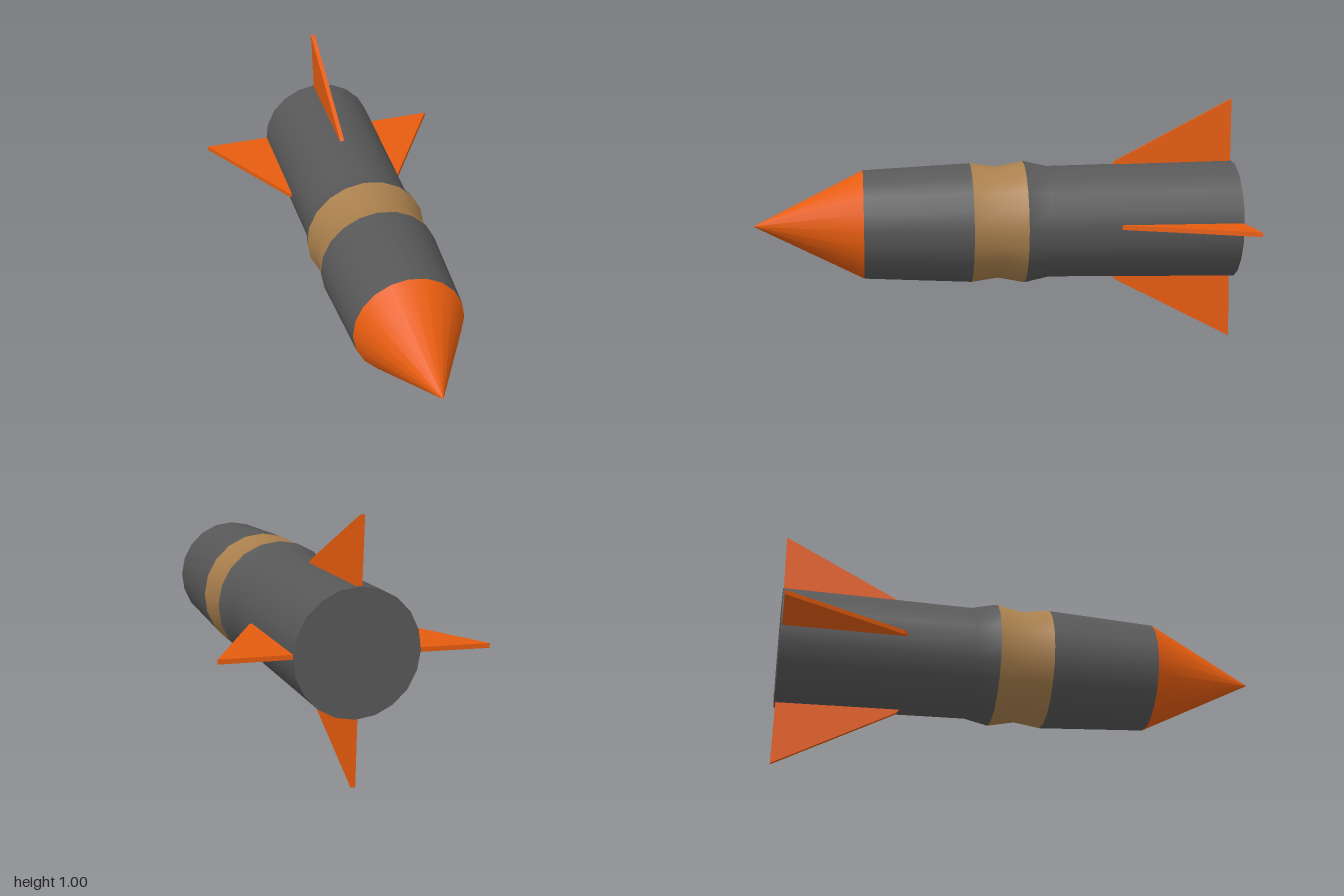
import * as THREE from 'three';

const SIDES = 20;
const material = (color) => new THREE.MeshStandardMaterial({ color });

export function createModel() {
  const grey = material(0x585858);
  const orange = material(0xe65c0f);
  const tan = material(0xaa804d);

  const model = new THREE.Group();
  model.name = 'rocket';
  const rocket = new THREE.Group();
  rocket.name = 'rocketBody';
  // the rocket lies along z with a slight yaw and roll
  rocket.position.set(0.02, 0.508, 0);
  rocket.rotation.set(0.003, 0.02, 0.026);
  model.add(rocket);

  const add = (name, geometry, mat, parent = rocket) => {
    const mesh = new THREE.Mesh(geometry, mat);
    mesh.name = name;
    parent.add(mesh);
    return mesh;
  };

  // turned section: [radius, z] pairs from tail to nose
  const turned = (profile) => new THREE.LatheGeometry(
    profile.map(([r, z]) => new THREE.Vector2(r, z)), SIDES
  ).rotateX(Math.PI / 2);

  // hull sections
  add('rearHull', turned([[0.245, -0.99], [0.232, -0.21], [0.254, -0.11]]), grey);
  add('middleBand', turned([[0.254, -0.11], [0.232, 0], [0.248, 0.11]]), tan);
  add('frontHull', turned([[0.248, 0.11], [0.225, 0.55]]), grey);
  add('noseCone', turned([[0.225, 0.55], [0, 1]]), orange);

  // flat tail cap facing backwards
  const cap = add('tailCap', new THREE.CircleGeometry(0.245, SIDES).rotateY(Math.PI), grey);
  cap.position.z = -0.99;

  // four tapered tail fins, slightly longer at the sides
  const thickness = 0.018;
  const finGeometry = (span) => {
    const shape = new THREE.Shape([
      new THREE.Vector2(0.22, -0.985),
      new THREE.Vector2(span, -0.988),
      new THREE.Vector2(0.25, -0.5),
      new THREE.Vector2(0.22, -0.475),
    ]);
    // shape y runs along z, so the extrusion becomes the thickness in y
    return new THREE.ExtrudeGeometry(shape, { depth: thickness, bevelEnabled: false })
      .translate(0, 0, -thickness / 2)
      .rotateX(Math.PI / 2);
  };
  ['leftFin', 'topFin', 'rightFin', 'bottomFin'].forEach((name, i) => {
    const fin = add(name, finGeometry(i % 2 ? 0.502 : 0.522), orange);
    fin.rotation.z = i * Math.PI / 2;
  });

  return model;
}
